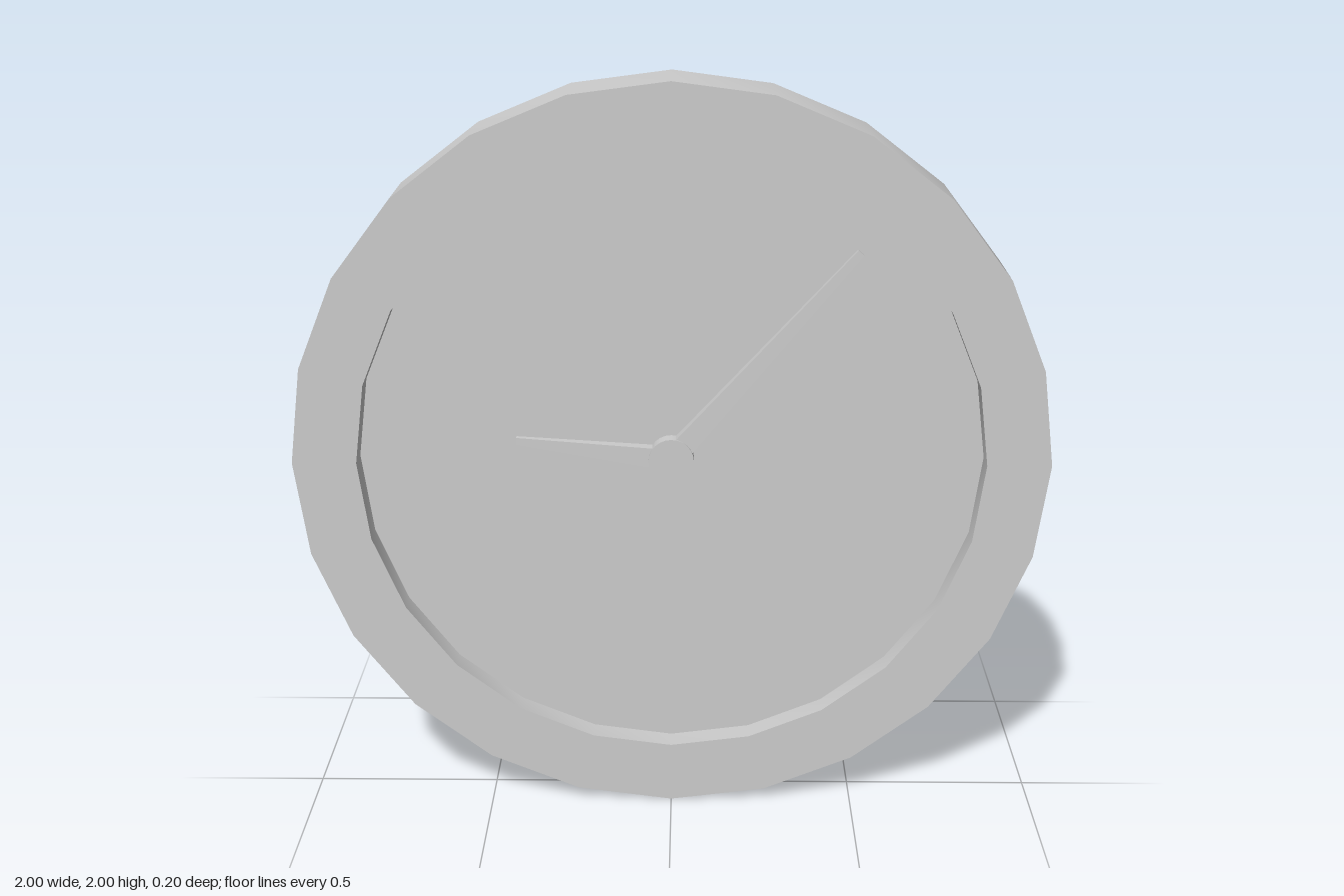
import * as THREE from 'three';
import { toCreasedNormals } from 'three/addons/utils/BufferGeometryUtils.js';

const SIDES = 24;
const DIAL_Z = 0.035;

export function createModel() {
  const clock = new THREE.Group();
  clock.name = 'wallClock';
  const material = new THREE.MeshStandardMaterial({ color: 0xcccccc });
  const flat = new THREE.MeshStandardMaterial({ color: 0xcccccc, flatShading: true });

  const add = (name, geometry, mat) => {
    const mesh = new THREE.Mesh(geometry, mat);
    mesh.name = name;
    mesh.position.y = 1;
    clock.add(mesh);
    return mesh;
  };

  // Case: flat back, outer wall, raised rim and recessed dial in one turned profile
  const profile = [
    [0, -0.1], [1, -0.1], [1, 0.1], [0.83, 0.1], [0.83, DIAL_Z], [0, DIAL_Z],
  ].map(([r, z]) => new THREE.Vector2(r, z));
  const body = new THREE.LatheGeometry(profile, SIDES).rotateX(Math.PI / 2);
  add('caseAndDial', toCreasedNormals(body, 0.6), material);

  // Hub at the centre of the dial
  const hub = new THREE.CylinderGeometry(0.06, 0.06, 0.055, SIDES).rotateX(Math.PI / 2);
  add('hub', hub, material).position.z = 0.0465;

  // Hands: square bars tapering to the tip, angle measured clockwise from twelve
  const addHand = (name, length, degrees) => {
    const hand = new THREE.CylinderGeometry(0.01 * Math.SQRT2, 0.03 * Math.SQRT2, length, 4)
      .rotateY(Math.PI / 4)
      .translate(0, length / 2, 0);
    const mesh = add(name, hand, flat);
    mesh.position.z = 0.04;
    mesh.rotation.z = -THREE.MathUtils.degToRad(degrees);
  };
  addHand('minuteHand', 0.74, 41);
  addHand('hourHand', 0.415, 276.3);

  return clock;
}
